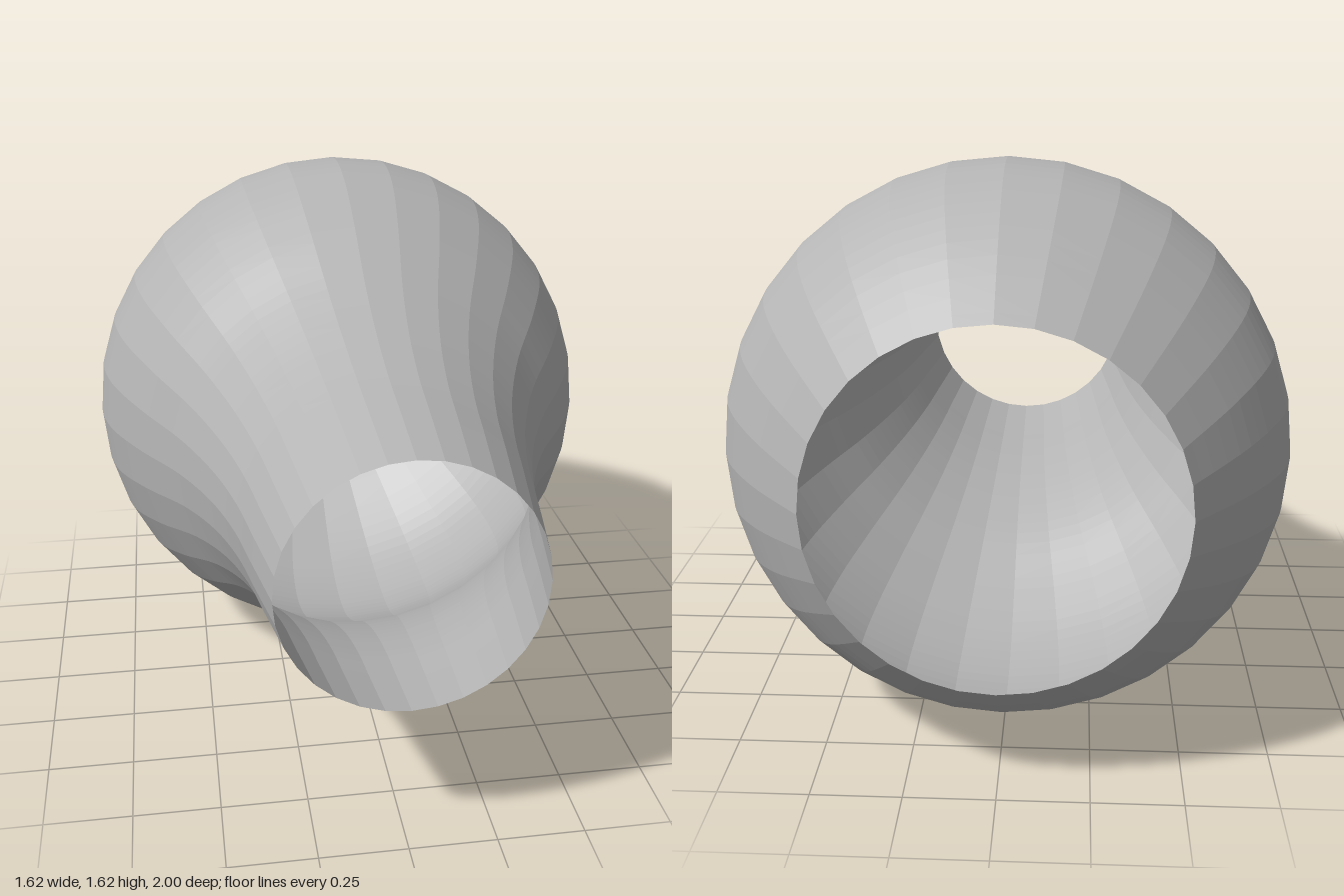
import * as THREE from 'three';

export function createModel() {
  const group = new THREE.Group();
  const grey = new THREE.MeshStandardMaterial({ color: 0xb4b4b4, flatShading: true, side: THREE.DoubleSide });
  grey.name = 'grey';

  // Radii from the wide back opening to the narrow front neck, evenly spaced along z
  const radii = [0.493, 0.66, 0.774, 0.808, 0.775, 0.683, 0.565, 0.48, 0.425, 0.391, 0.357];
  const profile = new THREE.SplineCurve(
    radii.map((r, i) => new THREE.Vector2(r, -1 + (2 * i) / (radii.length - 1)))
  ).getPoints(50);

  // Thin open shell, turned so its axis runs front to back
  const shell = new THREE.Mesh(new THREE.LatheGeometry(profile, 32).rotateX(Math.PI / 2), grey);
  shell.name = 'bulbShell';
  shell.position.y = 0.808;
  group.add(shell);
  return group;
}
